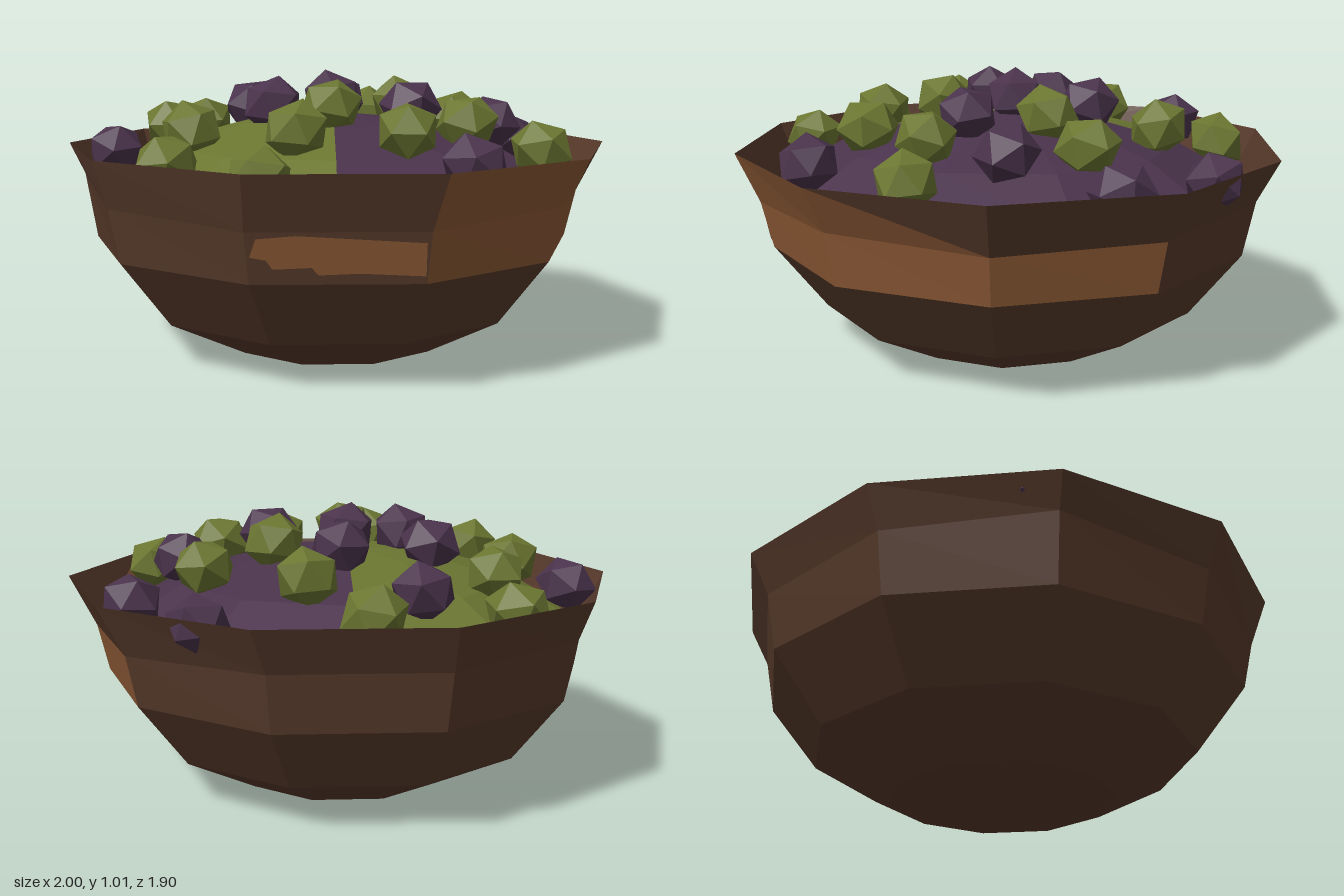
import * as THREE from 'three';

const SIDES = 10;

function flat(name, color, side = THREE.FrontSide) {
  const m = new THREE.MeshStandardMaterial({ color, flatShading: true, side });
  m.name = name;
  return m;
}

// Seeded random numbers in 0..1
function seeded(seed) {
  return () => (seed = (seed * 16807) % 2147483647) / 2147483647;
}

// Ten-sided, hand-cut bowl: rings of [radius, height, x shift]
function makeBowl(brown, lightWood) {
  const rings = [[0.41, 0, -0.01], [0.7, 0.15, -0.02], [0.885, 0.39, -0.02], [0.925, 0.58, -0.02], [1, 0.745, 0]];
  const shoulderLift = [-0.02, 0.0, -0.02, -0.02, 0.0, 0.05, 0.02, 0.01, 0.01, -0.01];
  const point = (row, i) => {
    const [r, y, dx] = rings[row];
    const a = (i / SIDES) * Math.PI * 2;
    const lift = row === 3 ? shoulderLift[i % SIDES] : 0;
    return [r * Math.cos(a) + dx, y + lift, r * Math.sin(a)];
  };
  const faces = [[], []];
  for (let i = 0; i < SIDES; i++) {
    faces[0].push([0, 0, 0], point(0, i), point(0, i + 1));
    for (let row = 0; row < 4; row++) {
      const a = point(row, i), b = point(row + 1, i), c = point(row + 1, i + 1), d = point(row, i + 1);
      // Lighter wood on the right-hand side of the band and rim
      const lightBand = row === 2 && (i === 0 || i === 1 || i === 9);
      const lightRim = row === 3 && i === 1;
      const lightCorner = row === 3 && i === 0;
      faces[lightBand || lightRim ? 1 : 0].push(a, b, c);
      faces[lightBand || lightRim || lightCorner ? 1 : 0].push(a, c, d);
    }
  }
  const geo = new THREE.BufferGeometry();
  geo.setAttribute('position', new THREE.Float32BufferAttribute(faces.flat(2), 3));
  geo.addGroup(0, faces[0].length, 0);
  geo.addGroup(faces[0].length, faces[1].length, 1);
  geo.computeVertexNormals();
  const bowl = new THREE.Mesh(geo, [brown, lightWood]);
  bowl.name = 'bowl';
  return bowl;
}

export function createModel() {
  const group = new THREE.Group();
  const brown = flat('brown wood', 0x573a2b, THREE.DoubleSide);
  const lightWood = flat('light wood', 0x8c5935, THREE.DoubleSide);
  const green = flat('green', 0x6b7631);
  const purple = flat('purple', 0x4a334c);

  group.add(makeBowl(brown, lightWood));

  // Worn patch on the front of the band
  const worn = new THREE.Shape([
    [-0.29, -0.01], [-0.27, 0.05], [-0.15, 0.06], [0.25, 0.035], [0.25, -0.075],
    [0.05, -0.065], [-0.08, -0.07], [-0.1, -0.045], [-0.22, -0.05], [-0.24, -0.02],
  ].map(([x, y]) => new THREE.Vector2(x, y)));
  const patch = new THREE.Mesh(new THREE.ShapeGeometry(worn), lightWood);
  patch.name = 'wornPatch';
  patch.position.set(0, 0.49, 0.868);
  patch.rotation.x = 0.21;
  group.add(patch);

  // Heaped filling, half purple and half green
  const mound = [[0.855, 0.615], [0.62, 0.745], [0.33, 0.825], [0, 0.86]].map(([x, y]) => new THREE.Vector2(x, y));
  [[purple, 0, 'purpleFilling'], [green, Math.PI, 'greenFilling']].forEach(([mat, start, name]) => {
    const half = new THREE.Mesh(new THREE.LatheGeometry(mound, 5, start, Math.PI), mat);
    half.name = name;
    half.position.x = -0.02;
    group.add(half);
  });

  // Faceted berries scattered over the mound, placed by [x, z]
  const greenSpots = [
    [-0.07, -0.77], [-0.55, -0.61], [-0.52, -0.35], [-0.62, -0.07], [0.13, -0.54],
    [0.48, -0.29], [0.24, -0.15], [-0.52, 0.26], [-0.03, 0.25], [-0.15, 0.5],
    [-0.57, 0.56], [-0.26, 0.8], [0.22, 0.49], [0.45, 0.25], [0.71, 0.28],
  ];
  const purpleSpots = [
    [-0.24, -0.61], [0.47, -0.71], [0.72, -0.4], [0.01, -0.29], [-0.32, -0.15], [-0.84, -0.07],
    [-0.02, -0.02], [-0.24, 0.09], [0.26, 0.13], [0.58, -0.03], [0.42, 0.66],
  ];
  const berryShape = new THREE.IcosahedronGeometry(0.112, 0);
  const rand = seeded(77);
  const scatter = (spots, mat, name) => spots.forEach(([x, z]) => {
    const berry = new THREE.Mesh(berryShape, mat);
    berry.name = name;
    berry.position.set(x, 0.91 - 0.28 * (x * x + z * z), z);
    berry.rotation.set((rand() - 0.5) * 0.8, rand() * Math.PI * 2, (rand() - 0.5) * 0.8);
    berry.scale.set(1.05, 0.92, 0.98);
    group.add(berry);
  });
  scatter(greenSpots, green, 'greenBerry');
  scatter(purpleSpots, purple, 'purpleBerry');

  return group;
}
